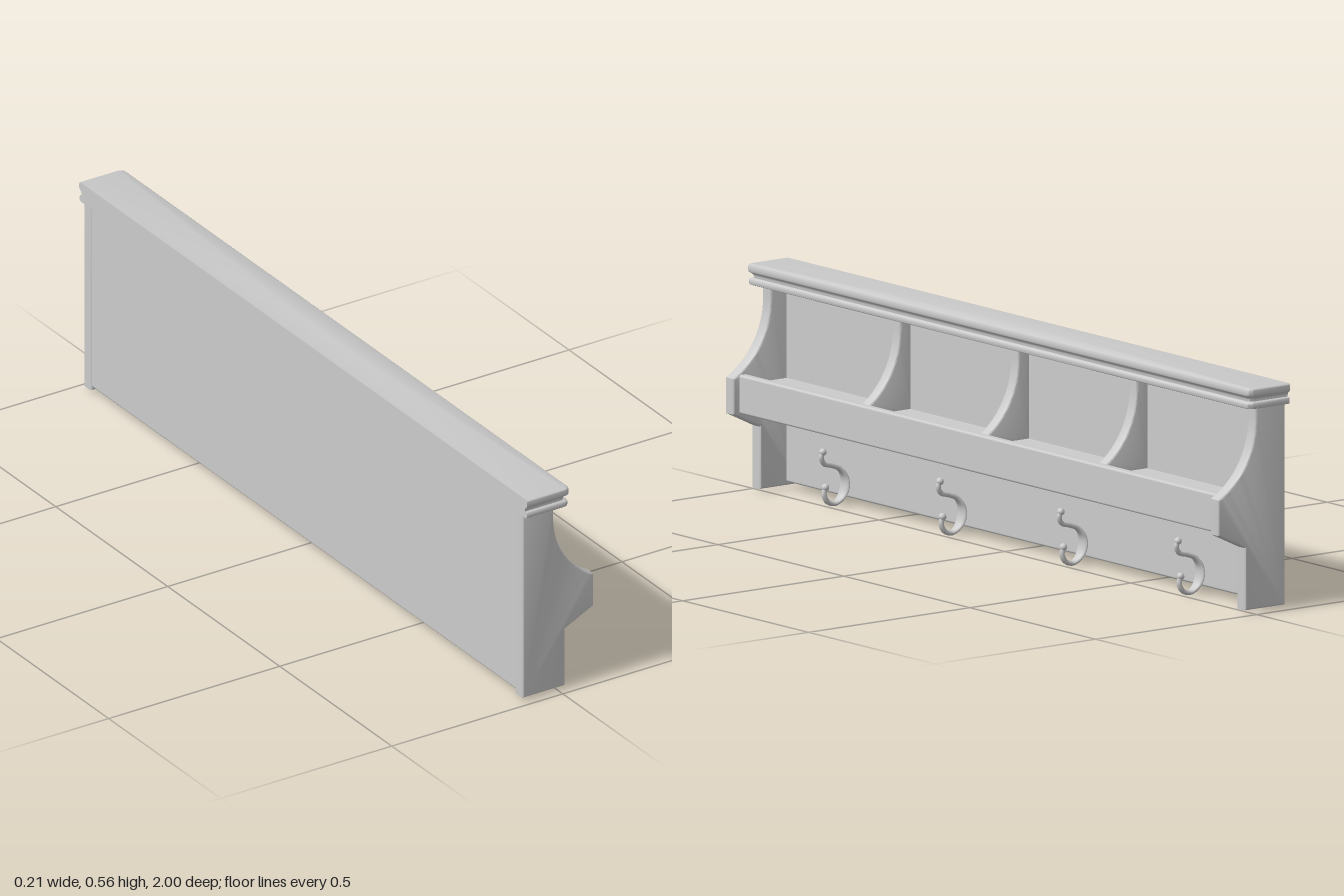
import * as THREE from 'three';
import { toCreasedNormals } from 'three/addons/utils/BufferGeometryUtils.js';
import { RoundedBoxGeometry } from 'three/addons/geometries/RoundedBoxGeometry.js';
import { ParametricGeometry } from 'three/addons/geometries/ParametricGeometry.js';

const material = new THREE.MeshStandardMaterial({ color: 0xcccccc });
const BACK = -0.104;      // wall side
const PANEL_FRONT = -0.062;

function add(parent, name, geometry) {
  const mesh = new THREE.Mesh(geometry, material);
  mesh.name = name;
  parent.add(mesh);
  return mesh;
}

// Rounded box given by its limits in x and y, centred on z
function board(x0, x1, y0, y1, length, radius) {
  return new RoundedBoxGeometry(x1 - x0, y1 - y0, length, 3, radius)
    .translate((x0 + x1) / 2, (y0 + y1) / 2, 0);
}

// Upright cut from an outline in x and y, with softened edges
function upright(shape, thickness) {
  const b = 0.005;
  const g = new THREE.ExtrudeGeometry(shape, {
    depth: thickness - 2 * b, bevelSize: b, bevelThickness: b, bevelOffset: -b,
    bevelSegments: 3, curveSegments: 16,
  });
  g.translate(0, 0, -thickness / 2 + b);
  return toCreasedNormals(g, 0.6);
}

// Full-height end panel with a concave upper front and a projecting nose
function endShape() {
  const s = new THREE.Shape();
  s.moveTo(BACK, 0.012);
  s.lineTo(0.02, 0.012);
  s.lineTo(0.02, 0.168);
  s.lineTo(0.103, 0.208);
  s.lineTo(0.103, 0.297);
  s.bezierCurveTo(0.03, 0.335, -0.013, 0.405, -0.013, 0.485);
  s.lineTo(-0.013, 0.52);
  s.lineTo(BACK, 0.52);
  s.closePath();
  return s;
}

// Compartment divider with the same concave front
function dividerShape() {
  const s = new THREE.Shape();
  s.moveTo(PANEL_FRONT - 0.01, 0.27);
  s.lineTo(0.066, 0.27);
  s.lineTo(0.066, 0.303);
  s.bezierCurveTo(0.01, 0.34, -0.03, 0.405, -0.03, 0.485);
  s.lineTo(-0.03, 0.52);
  s.lineTo(PANEL_FRONT - 0.01, 0.52);
  s.closePath();
  return s;
}

// Cornice: moulding profile [inset, y] carried round the front and both ends
function corniceGeometry() {
  const profile = [
    [0.007, 0.515], [0.003, 0.517], [0.002, 0.520], [0.002, 0.528], [0.004, 0.531],
    [0.010, 0.533], [0.010, 0.538], [0.008, 0.543], [0.004, 0.546], [0.001, 0.548],
    [0, 0.551], [0, 0.562], [0.001, 0.565], [0.004, 0.567],
  ];
  const r = 0.014, steps = 6, pos = [], idx = [];
  for (const [d, y] of profile) {
    const x = 0.023 - d, z = 1 - d;
    pos.push(BACK, y, z);
    for (const side of [1, -1]) {
      for (let i = 0; i <= steps; i++) {
        const t = (side > 0 ? i : steps - i) / steps * Math.PI / 2;
        pos.push(x - r + r * Math.sin(t), y, side * (z - r + r * Math.cos(t)));
      }
    }
    pos.push(BACK, y, -z);
  }
  const n = 2 * (steps + 1) + 2, last = (profile.length - 1) * n;
  const bottom = last + n, top = bottom + 1;
  pos.push(-0.04, profile[0][1], 0, -0.04, profile[profile.length - 1][1], 0);
  for (let i = 0; i < n; i++) {
    const j = (i + 1) % n;
    for (let k = 0; k < last; k += n) {
      idx.push(k + i, k + j, k + n + j, k + i, k + n + j, k + n + i);
    }
    idx.push(bottom, j, i, top, last + i, last + j);
  }
  const g = new THREE.BufferGeometry();
  g.setAttribute('position', new THREE.Float32BufferAttribute(pos, 3));
  g.setIndex(idx);
  return toCreasedNormals(g, 0.7);
}

// S-shaped coat hook: points are x, y and half-width
function makeHook() {
  const hook = new THREE.Group();
  hook.name = 'coatHook';
  const path = new THREE.CatmullRomCurve3([
    [0.014, 0.143, 0.006], [0.019, 0.128, 0.006], [0.011, 0.113, 0.005],
    [-0.012, 0.106, 0.006], [-0.036, 0.096, 0.009], [-0.052, 0.075, 0.016],
    [-0.054, 0.050, 0.019], [-0.045, 0.026, 0.016], [-0.024, 0.010, 0.010],
    [-0.001, 0.016, 0.008], [0.010, 0.034, 0.007], [0.007, 0.052, 0.006],
  ].map(p => new THREE.Vector3(...p)));
  const thick = 0.0065;
  add(hook, 'hookBody', new ParametricGeometry((u, v, target) => {
    const p = path.getPoint(v), t = path.getTangent(v);
    const len = Math.hypot(t.x, t.y), a = u * Math.PI * 2;
    target.set(
      p.x - t.y / len * thick * Math.cos(a),
      p.y + t.x / len * thick * Math.cos(a),
      p.z * Math.sin(a));
  }, 14, 56));
  for (const [name, x, y] of [['upperTip', 0.014, 0.142], ['lowerTip', 0.006, 0.053]]) {
    add(hook, name, new THREE.SphereGeometry(0.0095, 16, 12)).position.set(x, y, 0);
  }
  return hook;
}

export function createModel() {
  const model = new THREE.Group();
  model.name = 'wallCoatRack';

  add(model, 'cornice', corniceGeometry());
  add(model, 'backPanel', board(-0.101, PANEL_FRONT, 0.02, 0.52, 1.91, 0.006));
  add(model, 'shelf', board(PANEL_FRONT - 0.01, 0.075, 0.215, 0.28, 1.91, 0.003));
  add(model, 'shelfLip', board(0.061, 0.085, 0.208, 0.305, 1.91, 0.006));

  const endGeometry = upright(endShape(), 0.034);
  for (const [name, side] of [['leftEndPanel', 1], ['rightEndPanel', -1]]) {
    add(model, name, endGeometry).position.z = side * 0.963;
  }

  const dividerGeometry = upright(dividerShape(), 0.032);
  for (const z of [-0.47, 0, 0.47]) add(model, 'divider', dividerGeometry).position.z = z;

  for (const z of [-0.705, -0.24, 0.24, 0.705]) {
    const hook = makeHook();
    hook.position.z = z;
    model.add(hook);
  }
  return model;
}
